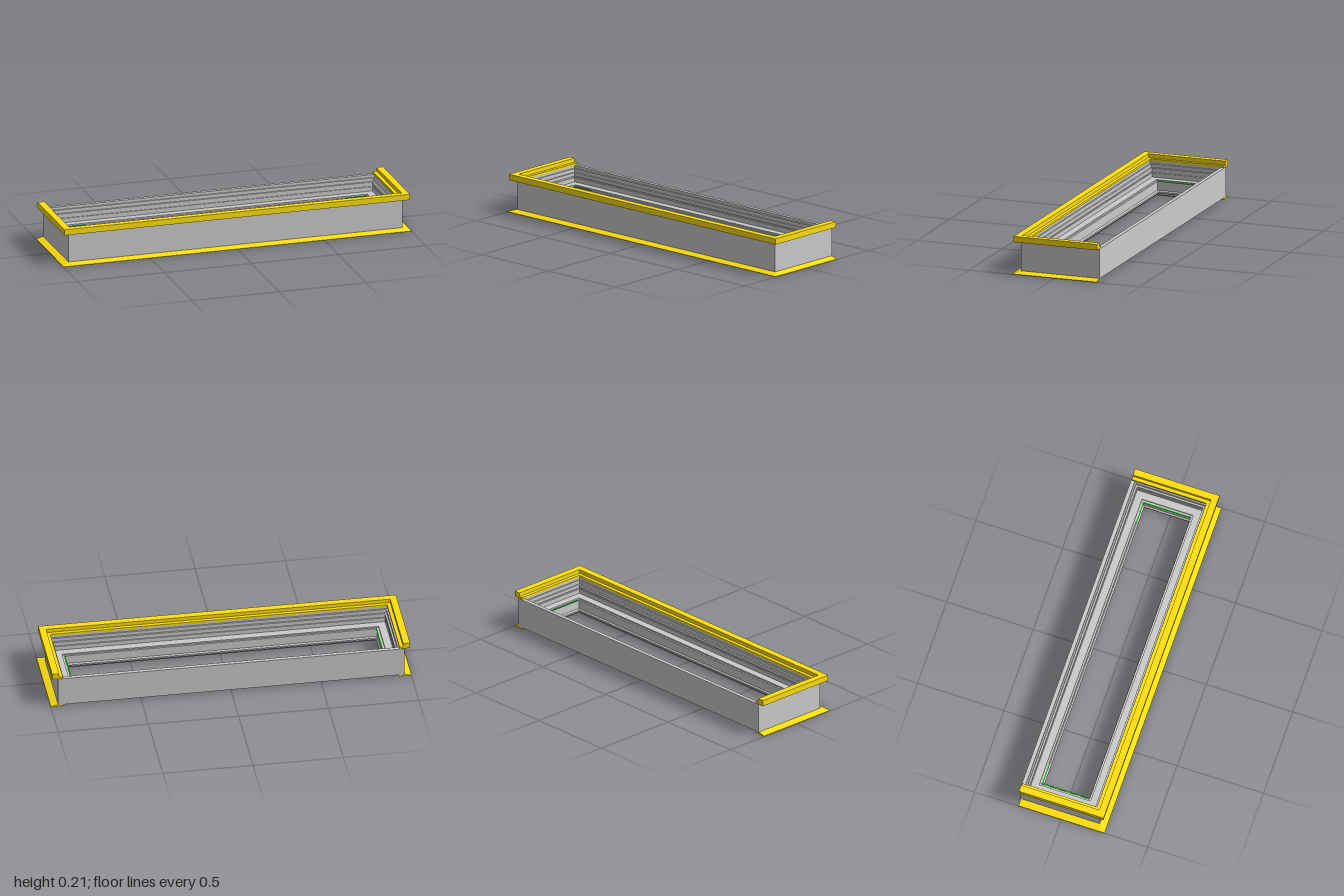
import * as THREE from 'three';

// Outer faces of the body: half width, front and back
const HX = 0.96, FRONT = 0.21, BACK = -0.25, TRIM_END = -0.247;

const grey = new THREE.MeshStandardMaterial({ color: 0xcccccc });
const yellow = new THREE.MeshStandardMaterial({ color: 0xffe010 });
const green = new THREE.MeshStandardMaterial({ color: 0x22ee22 });

// Sweeps a counter-clockwise [inset, height] profile round the rectangle with
// mitred corners: a full ring, or a U that is open and capped at the back.
function sweep(name, profile, material, closed) {
  const corner = (k, [d, y]) => {
    const back = closed ? BACK + d : TRIM_END;
    const x = (k < 2 ? -1 : 1) * (HX - d);
    return [x, y, k === 1 || k === 2 ? FRONT - d : back];
  };
  const pos = [];
  const tri = (a, b, c) => pos.push(...a, ...b, ...c);
  for (let k = 0; k < (closed ? 4 : 3); k++) {
    const n = (k + 1) % 4;
    profile.forEach((p, i) => {
      const q = profile[(i + 1) % profile.length];
      const a = corner(k, p), b = corner(n, p), c = corner(n, q), d = corner(k, q);
      tri(a, c, b);
      tri(a, d, c);
    });
  }
  if (!closed) {
    const contour = profile.map(([d, y]) => new THREE.Vector2(d, y));
    for (const [i, j, l] of THREE.ShapeUtils.triangulateShape(contour, [])) {
      tri(corner(0, profile[i]), corner(0, profile[l]), corner(0, profile[j]));
      tri(corner(3, profile[i]), corner(3, profile[j]), corner(3, profile[l]));
    }
  }
  const geometry = new THREE.BufferGeometry();
  geometry.setAttribute('position', new THREE.Float32BufferAttribute(pos, 3));
  geometry.computeVertexNormals();
  const mesh = new THREE.Mesh(geometry, material);
  mesh.name = name;
  return mesh;
}

function box(name, w, h, d, x, y, z, material) {
  const mesh = new THREE.Mesh(new THREE.BoxGeometry(w, h, d), material);
  mesh.position.set(x, y, z);
  mesh.name = name;
  return mesh;
}

export function createModel() {
  const group = new THREE.Group();
  group.name = 'windowFrame';

  // Main frame: stepped rebate above, deep inner lip round the opening
  group.add(sweep('frameBody', [
    [0, 0.013], [0.03, 0.013], [0.03, 0.004], [0.08, 0.004], [0.08, 0.009],
    [0.09, 0.009], [0.1, 0.022], [0.1, 0.03], [0.092, 0.036], [0.092, 0.085],
    [0.082, 0.085], [0.082, 0.093], [0.04, 0.093],
    [0.04, 0.118], [0.034, 0.118], [0.034, 0.126], [0.04, 0.126],
    [0.04, 0.145], [0.03, 0.145], [0.03, 0.165], [0.022, 0.165],
    [0.022, 0.181], [0, 0.181],
  ], grey, true));

  // Upper trim round three sides, stepping down on its inner edge
  group.add(sweep('upperTrim', [
    [-0.032, 0.181], [0.026, 0.181], [0.026, 0.192], [0.006, 0.192],
    [0.006, 0.214], [-0.032, 0.214],
  ], yellow, false));

  // Sloping lower flange round three sides
  group.add(sweep('lowerFlange', [
    [-0.04, 0], [0, 0], [0, 0.004], [0.018, 0.004], [0.018, 0], [0.03, 0],
    [0.03, 0.013], [0, 0.014], [-0.04, 0.003],
  ], yellow, false));

  // Green sealing strips on the ledge beside the opening
  for (const s of [-1, 1]) {
    group.add(box('sideSeal', 0.006, 0.004, 0.27, s * 0.865, 0.087, -0.025, green));
    group.add(box('backSeal', 0.12, 0.004, 0.006, s * 0.805, 0.087, -0.155, green));
  }
  return group;
}
